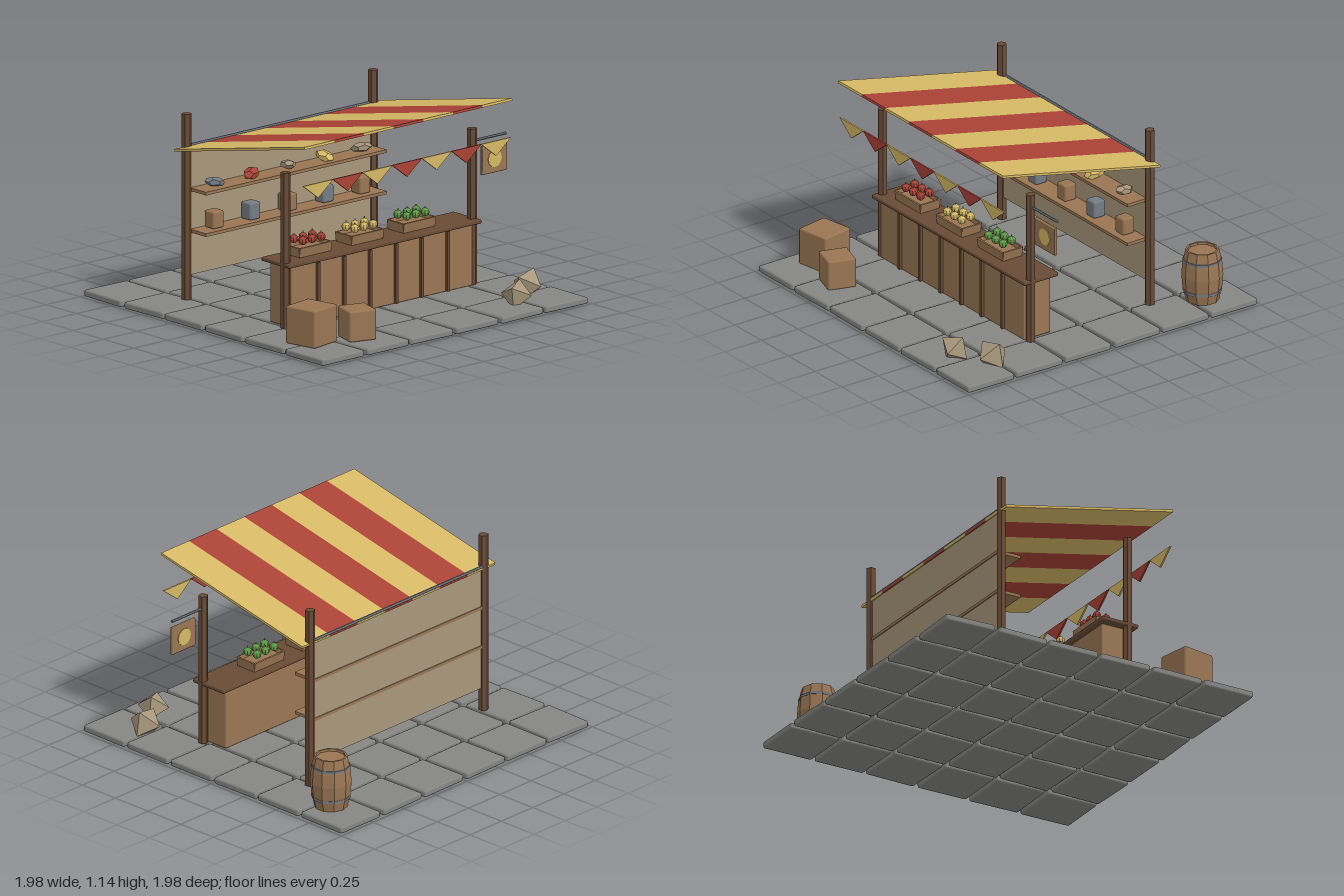
import * as THREE from 'three';
import { RoundedBoxGeometry } from 'three/addons/geometries/RoundedBoxGeometry.js';

const mat = (name, color) => {
  const m = new THREE.MeshStandardMaterial({ color });
  m.name = name;
  return m;
};

export function createModel() {
  const root = new THREE.Group();
  root.name = 'marketStall';
  const wood = mat('wood', 0x9a7653), dark = mat('darkWood', 0x694b36), stone = mat('stone', 0x858583);
  const red = mat('red', 0xab4236), yellow = mat('yellow', 0xd6b965), green = mat('green', 0x5f9a48);
  const metal = mat('metal', 0x757c84), cloth = mat('canvas', 0xa8977c);

  let s = 7;
  const rand = () => (s = (s * 16807) % 2147483647) / 2147483647 - 0.5;

  const add = (name, geo, material, x, y, z, parent = root) => {
    const m = new THREE.Mesh(geo, material);
    m.name = name;
    m.position.set(x, y, z);
    parent.add(m);
    return m;
  };
  const box = (w, h, d) => new THREE.BoxGeometry(w, h, d);
  const rbox = (w, h, d, r) => new RoundedBoxGeometry(w, h, d, 1, r);
  // Faceted version of an indexed geometry
  const flat = (g) => {
    const f = g.toNonIndexed();
    f.computeVertexNormals();
    return f;
  };
  const cyl = (rt, rb, h, n) => flat(new THREE.CylinderGeometry(rt, rb, h, n));

  // Paving slabs, slightly askew
  const slab = rbox(0.312, 0.04, 0.312, 0.012);
  for (let i = 0; i < 6; i++) {
    for (let j = 0; j < 6; j++) {
      add('pavingSlab', slab, stone, (i - 2.5) * 0.332, 0.02, (j - 2.5) * 0.332).rotation.y = rand() * 0.06;
    }
  }

  // Four posts
  for (const x of [-0.692, 0.692]) {
    add('frontPost', cyl(0.028, 0.028, 0.89, 6), dark, x, 0.485, 0.352);
    add('backPost', cyl(0.028, 0.028, 1.06, 6), dark, x, 0.57, -0.463);
  }

  // Sloping striped awning
  const awning = new THREE.Group();
  awning.name = 'awning';
  awning.position.set(0, 1.015, 0.06);
  awning.rotation.x = -Math.atan2(0.23, 1.08);
  root.add(awning);
  for (let i = 0; i < 7; i++) {
    add('awningStripe', box(0.22, 0.014, 1.1), i % 2 ? red : yellow, (i - 3) * 0.22, 0, 0, awning);
  }

  // Row of pennants
  const tri = new THREE.Shape([[-0.11, 0.91], [0, 0.825], [0.11, 0.91]].map((p) => new THREE.Vector2(...p)));
  const pennant = new THREE.ExtrudeGeometry(tri, { depth: 0.01, bevelEnabled: false });
  for (let i = 0; i < 7; i++) add('pennant', pennant, i % 2 ? red : yellow, (i - 3) * 0.22, 0, 0.578);

  // Counter with battens and a worktop
  add('counterBody', rbox(1.34, 0.35, 0.18, 0.006), wood, 0, 0.215, 0.29);
  for (let i = 0; i < 6; i++) add('counterBatten', box(0.018, 0.34, 0.02), dark, (i - 2.5) * 0.192, 0.215, 0.387);
  add('counterTop', rbox(1.43, 0.024, 0.235, 0.008), dark, 0, 0.403, 0.293);

  // Canvas back wall, top rail and shelves
  add('backWall', box(1.34, 0.73, 0.012), cloth, 0, 0.54, -0.463);
  const rail = add('backRail', cyl(0.009, 0.009, 1.38, 6), metal, 0, 0.912, -0.472);
  rail.rotation.z = Math.PI / 2;
  for (const y of [0.427, 0.664]) add('shelf', box(1.34, 0.018, 0.148), wood, 0, y, -0.4);

  // Goods on the shelves
  const bundle = new THREE.DodecahedronGeometry(0.06);
  const bundleColours = [metal, red, cloth, yellow, cloth];
  for (let i = 0; i < 5; i++) {
    const x = (i - 2) * 0.272;
    add('canister', rbox(0.08, 0.1, 0.08, 0.012), i % 2 ? metal : wood, x, 0.486, -0.4);
    const b = add('bundle', bundle, bundleColours[i], x, 0.697, -0.395);
    b.scale.set(1.1, 0.45, 0.75);
    b.rotation.set(0, i * 0.5, i % 2 ? 0.22 : -0.18);
  }

  // Fruit trays
  const fruitColours = [red, yellow, green];
  [-0.463, -0.077, 0.308].forEach((x, k) => {
    const tray = new THREE.Group();
    tray.name = 'fruitTray';
    tray.position.set(x, 0.415, 0.28);
    root.add(tray);
    add('trayFloor', box(0.22, 0.035, 0.115), wood, 0, 0.018, 0, tray);
    for (const side of [-1, 1]) {
      add('traySide', box(0.235, 0.055, 0.01), wood, 0, 0.03, side * 0.063, tray).rotation.x = side * 0.15;
      add('trayEnd', box(0.01, 0.055, 0.13), wood, side * 0.115, 0.03, 0, tray).rotation.z = -side * 0.15;
      for (let i = -1; i <= 1; i++) {
        const fx = i * 0.068 + side * 0.004;
        add('fruit', flat(new THREE.SphereGeometry(0.025, 8, 6)), fruitColours[k], fx, 0.085, side * 0.032, tray);
        add('fruitStem', cyl(0.003, 0.004, 0.012, 5), green, fx, 0.112, side * 0.032, tray);
      }
    }
  });

  // Hanging sign with a disc on both faces
  const arm = add('signArm', cyl(0.008, 0.008, 0.26, 6), metal, 0.815, 0.855, 0.35);
  arm.rotation.z = Math.PI / 2;
  add('signBoard', rbox(0.186, 0.165, 0.018, 0.005), wood, 0.847, 0.732, 0.358);
  const disc = add('signDisc', cyl(0.05, 0.05, 0.026, 12), yellow, 0.847, 0.732, 0.358);
  disc.rotation.x = Math.PI / 2;

  // Crates beside the counter
  add('largeCrate', rbox(0.205, 0.215, 0.205, 0.01), wood, -0.79, 0.148, 0.675).rotation.y = 0.18;
  add('smallCrate', rbox(0.165, 0.175, 0.165, 0.01), wood, -0.538, 0.128, 0.772).rotation.y = -0.3;

  // Rocks
  [[0.61, 0.81, 0.09, 0.5], [0.8, 0.69, 0.098, 0.15]].forEach(([x, z, r, turn]) => {
    const rock = add('rock', new THREE.OctahedronGeometry(r), cloth, x, 0.088, z);
    rock.rotation.set(0, turn, -0.6, 'YXZ');
  });

  // Barrel with two hoops
  const staves = [[0, 0], [0.093, 0], [0.11, 0.08], [0.116, 0.152], [0.11, 0.225], [0.093, 0.305], [0.082, 0.305],
    [0.08, 0.292], [0, 0.292]].map((p) => new THREE.Vector2(...p));
  add('barrel', flat(new THREE.LatheGeometry(staves, 10)), wood, 0.81, 0.04, -0.735);
  for (const y of [0.102, 0.283]) add('barrelHoop', cyl(0.11, 0.11, 0.014, 10), metal, 0.81, y, -0.735);

  return root;
}
